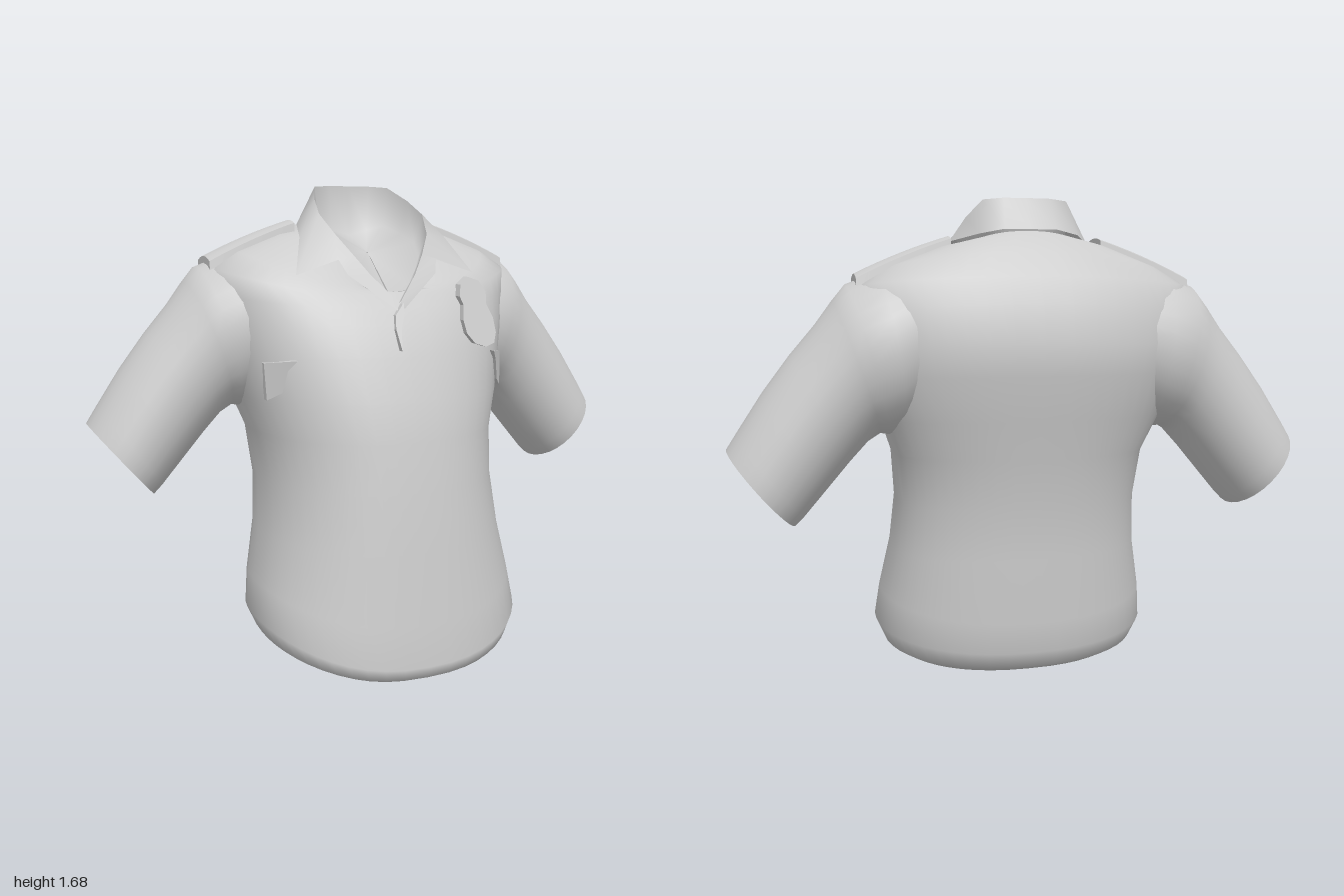
import * as THREE from 'three';

const cloth = new THREE.MeshStandardMaterial({ color: 0xcccccc, side: THREE.DoubleSide });
cloth.name = 'light grey cloth';

const mesh = (geometry, name) => {
  const m = new THREE.Mesh(geometry, cloth);
  m.name = name;
  return m;
};

// Skin a list of equal-length point rings with smooth normals
function loft(rings, closed = true) {
  const n = rings[0].length, index = [];
  const cols = closed ? n : n - 1;
  for (let i = 0; i < rings.length - 1; i++) {
    for (let j = 0; j < cols; j++) {
      const a = i * n + j, b = i * n + (j + 1) % n;
      index.push(a, b, a + n, b, b + n, a + n);
    }
  }
  const g = new THREE.BufferGeometry();
  g.setAttribute('position', new THREE.Float32BufferAttribute(rings.flat(2), 3));
  g.setIndex(index);
  g.computeVertexNormals();
  return g;
}

const pow = (v, e) => Math.sign(v) * Math.abs(v) ** e;

// Torso ring: heights at front, side and back, half width, front z, back z.
// The widest point moves back with height and the shoulder blades are squarer.
function torsoRing([yf, ys, yb, hw, zf, zb]) {
  const zc = THREE.MathUtils.clamp(0.1 - 0.25 * ys, -0.17, 0.07);
  const backPower = ys > 0.9 && ys < 1.42 ? 0.63 : 0.8;
  const pts = [];
  for (let j = 0; j < 48; j++) {
    const a = j / 48 * Math.PI * 2, c = Math.cos(a), front = c > 0;
    pts.push([
      hw * pow(Math.sin(a), 0.85),
      ys + ((front ? yf : yb) - ys) * c * c,
      zc + (front ? zf - zc : zc - zb) * pow(c, front ? 0.87 : backPower),
    ]);
  }
  return pts;
}

function makeTorso() {
  return mesh(loft([
    [0.09, 0.09, 0.09, 0.001, 0.07, 0.07],    // closed underside
    [0.0, 0.08, 0.06, 0.42, 0.425, -0.28],
    [0.02, 0.11, 0.085, 0.465, 0.465, -0.325],
    [0.06, 0.18, 0.14, 0.495, 0.475, -0.345],
    [0.2, 0.3, 0.25, 0.48, 0.455, -0.36],
    [0.45, 0.47, 0.47, 0.445, 0.43, -0.36],
    [0.65, 0.65, 0.65, 0.43, 0.40, -0.375],
    [0.82, 0.82, 0.82, 0.445, 0.375, -0.405],
    [0.95, 0.95, 0.95, 0.49, 0.345, -0.435],
    [1.1, 1.1, 1.1, 0.53, 0.295, -0.465],
    [1.2, 1.2, 1.2, 0.555, 0.25, -0.475],
    [1.26, 1.3, 1.33, 0.57, 0.21, -0.45],
    [1.3, 1.39, 1.42, 0.575, 0.18, -0.405],
    [1.31, 1.45, 1.5, 0.48, 0.17, -0.35],
    [1.31, 1.51, 1.55, 0.32, 0.165, -0.31],
    [1.29, 1.53, 1.57, 0.21, 0.16, -0.28],
  ].map(torsoRing)), 'torso');
}

// Sleeve ring: top x,y, bottom x,y, depth radius
function sleeveRing([ux, uy, lx, ly, r], side) {
  const pts = [];
  for (let j = 0; j < 28; j++) {
    const a = j / 28 * Math.PI * 2, c = Math.cos(a) / 2;
    pts.push([
      side * ((ux + lx) / 2 + (ux - lx) * c),
      (uy + ly) / 2 + (uy - ly) * c,
      -0.18 + side * r * Math.sin(a),
    ]);
  }
  return pts;
}

function makeSleeve(side) {
  const g = new THREE.Group();
  g.name = side > 0 ? 'leftSleeve' : 'rightSleeve';
  const ring = s => sleeveRing(s, side);
  const cuff = [1.0, 0.86, 0.785, 0.60, 0.19];
  g.add(mesh(loft([
    [0.36, 1.46, 0.34, 0.98, 0.225],
    [0.50, 1.435, 0.42, 0.92, 0.255],
    [0.605, 1.395, 0.47, 0.895, 0.235],
    [0.65, 1.34, 0.50, 0.90, 0.222],
    [0.705, 1.265, 0.54, 0.875, 0.208],
    [0.79, 1.165, 0.60, 0.81, 0.198],
    [0.88, 1.045, 0.69, 0.705, 0.195],
    [0.965, 0.915, 0.755, 0.63, 0.196],
    cuff,
  ].map(ring)), 'sleeve'));
  // Recessed lining inside the cuff
  g.add(mesh(loft([
    cuff,
    [0.945, 0.87, 0.765, 0.655, 0.165],
    [0.825, 0.775, 0.823, 0.772, 0.002],
  ].map(ring)), 'cuffLining'));
  return g;
}

// Mirror a back-to-front half outline into a full loop open at the front
const fullLoop = half => [
  ...half.slice().reverse(),
  ...half.slice(1).map(([x, y, z]) => [-x, y, z]),
];

function makeCollar() {
  const outer = [[0, 1.575, -0.295], [0.09, 1.575, -0.29], [0.17, 1.56, -0.26],
    [0.245, 1.54, -0.13], [0.28, 1.495, 0], [0.335, 1.37, 0.118],
    [0.185, 1.42, 0.125], [0.165, 1.37, 0.16], [0.01, 1.25, 0.23]];
  const top = [[0, 1.68, -0.24], [0.08, 1.68, -0.235], [0.145, 1.675, -0.21],
    [0.182, 1.625, -0.11], [0.2, 1.575, -0.02], [0.175, 1.505, 0.07],
    [0.13, 1.435, 0.125], [0.085, 1.37, 0.165], [0.005, 1.28, 0.22]];
  // The lining drops inward, deepest at the nape, and closes in a shallow bowl
  const base = top.map(([x, y, z], i) => {
    const t = i / (top.length - 1);
    return [x * 0.88, y - 0.02 - 0.16 * (1 - t), z + 0.01 - 0.05 * t];
  });
  const floor = base.map(([x, , z]) => [x * 0.02, 1.44, -0.06 + z * 0.02]);
  const [o, t, b, f] = [outer, top, base, floor].map(fullLoop);
  const g = new THREE.Group();
  g.name = 'collar';
  g.add(mesh(loft([o, t], false), 'collarOuter'), mesh(loft([t, b, f], false), 'collarLining'));
  return g;
}

// Raised strap following the shoulder slope, rounded across its width
function makeShoulderStrap(side) {
  const geo = new THREE.BoxGeometry(0.32, 0.06, 0.17, 8, 1, 6);
  const p = geo.attributes.position;
  for (let i = 0; i < p.count; i++) {
    const t = p.getX(i) * side / 0.32 + 0.5, low = p.getY(i) < 0;
    const z = p.getZ(i) * (0.8 + 0.2 * t) * (low ? 1.12 : 0.95);
    const y = 1.555 - 0.095 * t - 0.03 * t * t - (low ? 0.07 : 0) - z * z * 2.5;
    p.setXYZ(i, side * (0.26 + 0.315 * t), y, -0.175 + z);
  }
  geo.computeVertexNormals();
  return mesh(geo, side > 0 ? 'leftShoulderStrap' : 'rightShoulderStrap');
}

export function createModel() {
  const model = new THREE.Group();
  model.name = 'shirt';
  const torso = makeTorso();
  model.add(torso, makeCollar());

  // Depth of the chest surface at a given x, y
  const ray = new THREE.Raycaster();
  const chestZ = (x, y) => {
    ray.set(new THREE.Vector3(x, y, 2), new THREE.Vector3(0, 0, -1));
    return ray.intersectObject(torso)[0].point.z;
  };
  // Extrude an outline and lay it flat against the chest around its centre
  const drape = (points, depth, name) => {
    const mean = k => points.reduce((sum, q) => sum + q[k], 0) / points.length;
    const cx = mean(0), cy = mean(1), h = 0.03;
    const dx = (chestZ(cx + h, cy) - chestZ(cx - h, cy)) / (2 * h);
    const dy = (chestZ(cx, cy + h) - chestZ(cx, cy - h)) / (2 * h);
    const shape = new THREE.Shape(points.map(([x, y]) => new THREE.Vector2(x, y)));
    const geo = new THREE.ExtrudeGeometry(shape, { depth, bevelEnabled: false });
    const z0 = chestZ(cx, cy) - 0.015 - dx * cx - dy * cy;
    geo.applyMatrix4(new THREE.Matrix4().set(1, 0, 0, 0, 0, 1, 0, 0, dx, dy, 1, z0, 0, 0, 0, 1));
    geo.computeVertexNormals();
    model.add(mesh(geo, name));
  };

  // Chest badge
  drape([[0.27, 1.13], [0.32, 1.115], [0.365, 1.125], [0.385, 1.16], [0.385, 1.21],
    [0.365, 1.26], [0.375, 1.3], [0.35, 1.34], [0.3, 1.355], [0.255, 1.33],
    [0.24, 1.29], [0.25, 1.26], [0.235, 1.21], [0.24, 1.165]], 0.035, 'chestBadge');

  // Placket fold below the collar
  drape([[0.015, 1.275], [-0.025, 1.235], [-0.035, 1.19], [-0.03, 1.12], [-0.015, 1.19],
    [0.01, 1.24]], 0.03, 'placketFold');

  for (const side of [1, -1]) {
    model.add(makeSleeve(side), makeShoulderStrap(side));
    // Lifted corner of the pocket flap
    drape([[0.37, 1.095], [0.455, 1.08], [0.45, 0.955], [0.41, 0.985], [0.395, 1.06]]
      .map(([x, y]) => [side * x, y]), 0.03, side > 0 ? 'leftPocketFlap' : 'rightPocketFlap');
  }
  return model;
}
